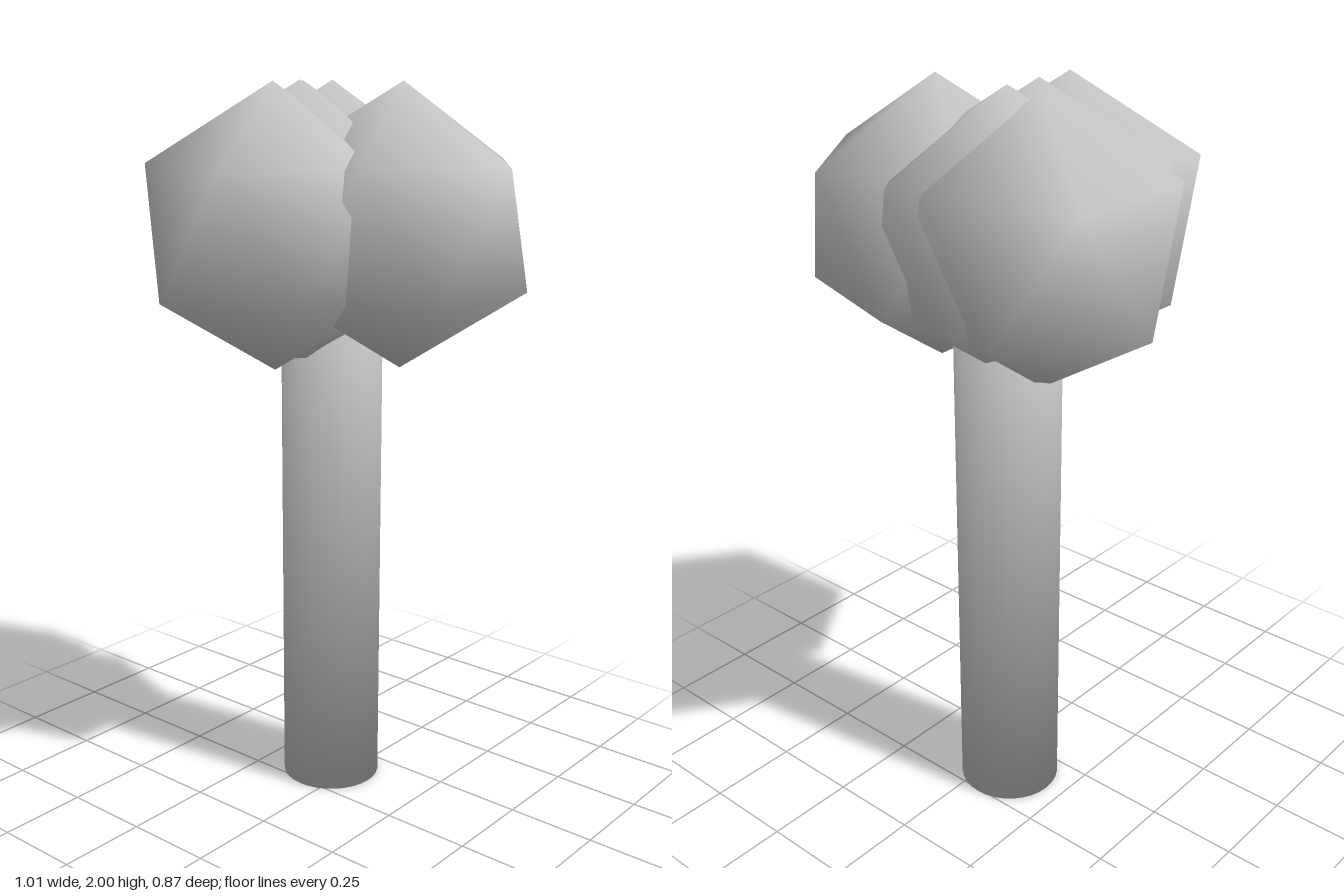
import * as THREE from 'three';
import { mergeVertices } from 'three/addons/utils/BufferGeometryUtils.js';

const material = new THREE.MeshStandardMaterial({ color: 0xcccccc });

// Smooth-shaded icosahedron standing on a vertex: two poles and two offset rings of five
function crownGeometry(radius) {
  const points = [[0, 1, 0]];
  for (const [height, offset] of [[1, 0], [-1, 0.5]]) {
    for (let i = 0; i < 5; i++) {
      const a = (i + offset) * Math.PI * 0.4;
      points.push([Math.cos(a) * 2 / Math.sqrt(5), height / Math.sqrt(5), Math.sin(a) * 2 / Math.sqrt(5)]);
    }
  }
  points.push([0, -1, 0]);

  const index = [];
  for (let i = 0; i < 5; i++) {
    const next = (i + 1) % 5;
    const u0 = 1 + i, u1 = 1 + next, l0 = 6 + i, l1 = 6 + next;
    index.push(0, u1, u0, u0, u1, l0, l0, u1, l1, 11, l0, l1);
  }
  const geometry = new THREE.BufferGeometry();
  geometry.setAttribute('position', new THREE.Float32BufferAttribute(points.flat(), 3));
  geometry.setAttribute('normal', new THREE.Float32BufferAttribute(points.flat(), 3));
  geometry.setIndex(index);
  return geometry.scale(radius, radius, radius);
}

// Cylinder whose normals blend between wall and caps
function trunkGeometry(radius, height) {
  let geometry = new THREE.CylinderGeometry(radius, radius, height, 32);
  geometry.deleteAttribute('uv');
  geometry.deleteAttribute('normal');
  geometry = mergeVertices(geometry);
  const p = geometry.attributes.position;
  const normals = [];
  for (let i = 0; i < p.count; i++) {
    const n = new THREE.Vector3(p.getX(i) / radius, Math.sign(p.getY(i)), p.getZ(i) / radius).normalize();
    normals.push(n.x, n.y, n.z);
  }
  geometry.setAttribute('normal', new THREE.Float32BufferAttribute(normals, 3));
  return geometry.translate(0, height / 2, 0);
}

export function createModel() {
  const model = new THREE.Group();
  model.name = 'tree';

  const trunk = new THREE.Mesh(trunkGeometry(0.14, 1.6), material);
  trunk.name = 'trunk';
  trunk.position.set(-0.06, 0, -0.118);
  model.add(trunk);

  // Five overlapping foliage clumps: one on each side, three in a row front to back
  const foliage = new THREE.Group();
  foliage.name = 'foliage';
  const clump = crownGeometry(0.37);
  const clumps = {
    leftClump: [0.174, -0.118],
    rightClump: [-0.174, -0.118],
    backClump: [-0.06, -0.118],
    middleClump: [-0.06, 0],
    frontClump: [-0.06, 0.118],
  };
  for (const [name, [x, z]] of Object.entries(clumps)) {
    const mesh = new THREE.Mesh(clump, material);
    mesh.name = name;
    mesh.position.set(x, 1.63, z);
    foliage.add(mesh);
  }
  model.add(foliage);
  return model;
}
